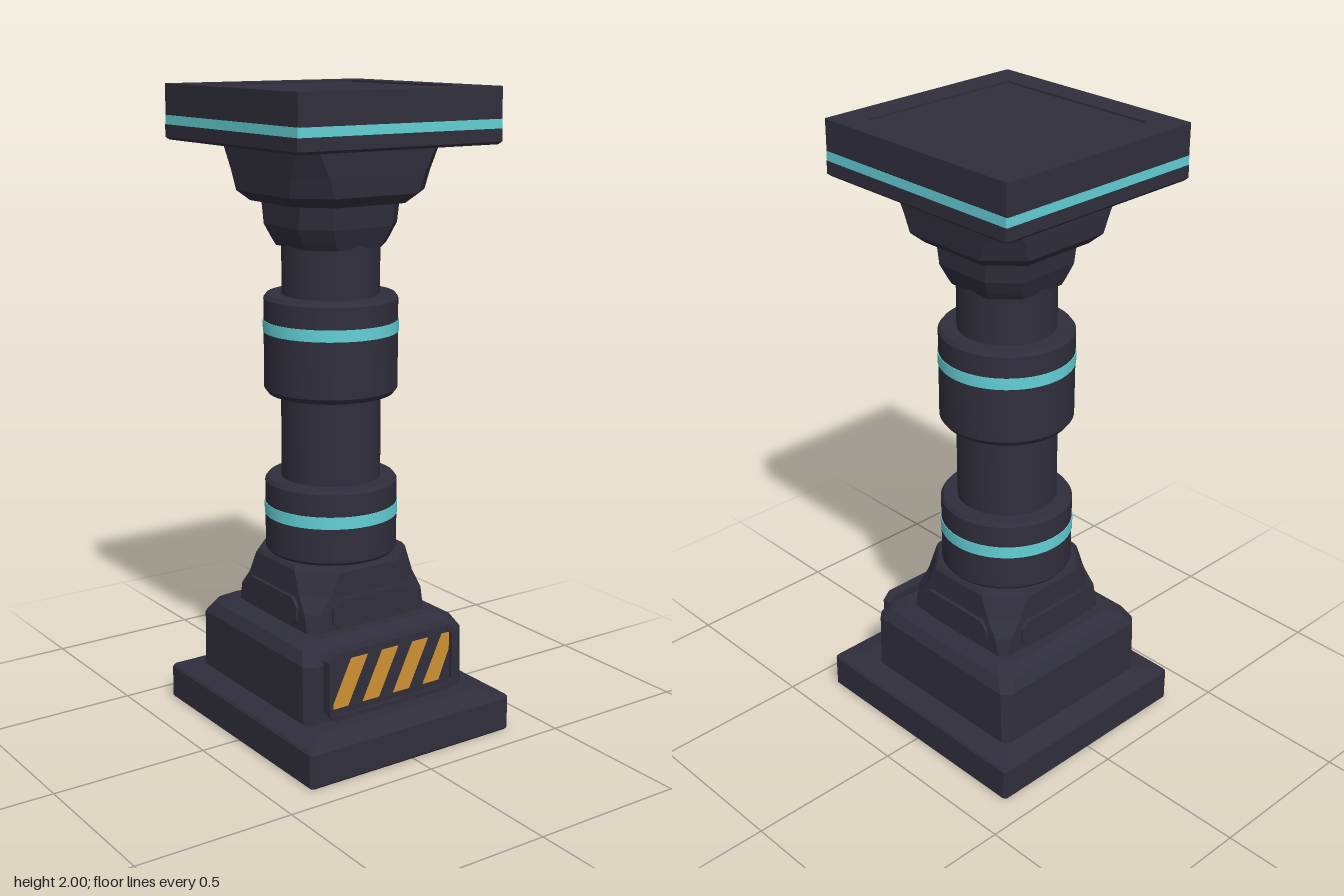
import * as THREE from 'three';
import { toCreasedNormals } from 'three/addons/utils/BufferGeometryUtils.js';

const mat = (name, color) => {
  const m = new THREE.MeshStandardMaterial({ color });
  m.name = name;
  return m;
};

// Stacked chamfered rectangles; each level is [y, halfX, halfZ, cornerCut]
function loft(levels) {
  const rings = levels.map(([y, hx, hz, c]) => [
    [hx, hz - c], [hx - c, hz], [c - hx, hz], [-hx, hz - c],
    [-hx, c - hz], [c - hx, -hz], [hx - c, -hz], [hx, c - hz],
  ].map(([x, z]) => [x, y, z]));
  const pos = [];
  const tri = (...pts) => pts.forEach((p) => pos.push(...p));
  const last = rings.length - 1;
  const bottom = [0, levels[0][0], 0];
  const top = [0, levels[last][0], 0];
  for (let i = 0; i < 8; i++) {
    const j = (i + 1) % 8;
    for (let k = 0; k < last; k++) {
      const a = rings[k][i], b = rings[k][j], c = rings[k + 1][j], d = rings[k + 1][i];
      tri(a, d, c);
      tri(a, c, b);
    }
    tri(bottom, rings[0][i], rings[0][j]);
    tri(top, rings[last][j], rings[last][i]);
  }
  const g = new THREE.BufferGeometry();
  g.setAttribute('position', new THREE.Float32BufferAttribute(pos, 3));
  g.computeVertexNormals();
  return g;
}

// Round profile from [radius, y] pairs, with crisp edges
const turned = (pts) => toCreasedNormals(
  new THREE.LatheGeometry(pts.map(([r, y]) => new THREE.Vector2(r, y)), 48), 0.5);

// Rectangle with cut corners
function cutRect(Path, x0, y0, x1, y1, c) {
  const pts = [[x0 + c, y0], [x1 - c, y0], [x1, y0 + c], [x1, y1 - c],
    [x1 - c, y1], [x0 + c, y1], [x0, y1 - c], [x0, y0 + c]];
  return new Path(pts.map(([x, y]) => new THREE.Vector2(x, y)));
}
const extrude = (shape, depth) =>
  new THREE.ExtrudeGeometry(shape, { depth, bevelEnabled: false });

export function createModel() {
  const dark = mat('dark metal', 0x302e3c);
  const teal = mat('teal glow', 0x62d0d6);
  const amber = mat('amber paint', 0xcf9233);
  const model = new THREE.Group();
  model.name = 'pedestalColumn';
  const column = new THREE.Group();
  column.name = 'column';
  column.position.z = -0.03;
  model.add(column);
  const add = (name, geometry, material, parent = column) => {
    const m = new THREE.Mesh(geometry, material);
    m.name = name;
    parent.add(m);
    return m;
  };

  // Floor plate with gently sloping top
  add('basePlate', loft([[0, 0.37, 0.41, 0.008], [0.006, 0.376, 0.415, 0.008],
    [0.108, 0.376, 0.415, 0.008], [0.116, 0.37, 0.41, 0.008],
    [0.13, 0.3, 0.34, 0.008]]), dark, model);

  // Plinth blocks
  add('lowerPlinth', loft([[0.12, 0.3, 0.31, 0.02], [0.315, 0.3, 0.31, 0.025],
    [0.352, 0.28, 0.29, 0.035], [0.372, 0.245, 0.255, 0.04]]), dark);
  add('upperPlinth', loft([[0.36, 0.222, 0.216, 0.02], [0.43, 0.222, 0.216, 0.035],
    [0.48, 0.216, 0.212, 0.07], [0.55, 0.212, 0.21, 0.1],
    [0.562, 0.204, 0.204, 0.1]]), dark);

  // Raised pads on the four sides of the upper plinth
  for (let i = 0; i < 4; i++) {
    const pad = add('plinthPad', extrude(
      cutRect(THREE.Shape, -0.145, 0.375, 0.145, 0.47, 0.025), 0.03), dark);
    pad.rotation.y = i * Math.PI / 2;
    const out = i % 2 ? 0.199 : 0.195;
    pad.position.set(Math.sin(pad.rotation.y) * out, 0, Math.cos(pad.rotation.y) * out);
  }

  // Hazard panel: frame, recessed plate and slanted stripes
  const panel = new THREE.Group();
  panel.name = 'hazardPanel';
  panel.position.z = 0.275;
  model.add(panel);
  const frame = cutRect(THREE.Shape, -0.24, 0.138, 0.24, 0.354, 0.025);
  frame.holes.push(cutRect(THREE.Path, -0.225, 0.153, 0.225, 0.339, 0.02));
  add('panelFrame', extrude(frame, 0.035), dark, panel);
  add('panelPlate', extrude(
    cutRect(THREE.Shape, -0.23, 0.148, 0.23, 0.344, 0.02), 0.024), dark, panel);
  for (let i = 0; i < 4; i++) {
    const x = -0.225 + i * 0.115;
    const edge = 0.22;
    const stripe = i < 3
      ? [[x, 0.175], [x + 0.06, 0.175], [x + 0.132, 0.325], [x + 0.072, 0.325]]
      : [[x, 0.175], [x + 0.06, 0.175], [edge, 0.27], [edge, 0.325], [x + 0.072, 0.325]];
    const s = add('hazardStripe', extrude(
      new THREE.Shape(stripe.map(([a, b]) => new THREE.Vector2(a, b))), 0.004), amber, panel);
    s.position.z = 0.023;
  }

  // Round shaft with a service cover at the back
  add('shaft', turned([[0.155, 0.75], [0.155, 1.12], [0.151, 1.3], [0.151, 1.56]]), dark);
  const cover = add('shaftCover', new THREE.CylinderGeometry(
    0.159, 0.159, 0.26, 12, 1, true, Math.PI * 0.8, Math.PI * 0.4), dark);
  cover.position.y = 0.935;

  // Collars, each with a glowing band
  const collars = [[0.555, 0.8, 0.68, 0.718], [1.068, 1.375, 1.26, 1.296]];
  for (const [y0, y1, b0, b1] of collars) {
    add('collar', turned([[0.1, y0], [0.195, y0], [0.207, y0 + 0.016],
      [0.207, y1 - 0.012], [0.198, y1], [0.1, y1]]), dark);
    add('collarBand', turned([[0.2, b0], [0.2095, b0], [0.2095, b1], [0.2, b1]]), teal);
  }

  // Neck and capital
  add('neck', loft([[1.525, 0.148, 0.148, 0.07], [1.545, 0.158, 0.155, 0.07],
    [1.59, 0.18, 0.17, 0.075], [1.67, 0.182, 0.176, 0.07]]), dark);
  add('capital', loft([[1.66, 0.212, 0.21, 0.09], [1.69, 0.245, 0.24, 0.095],
    [1.75, 0.25, 0.245, 0.08], [1.84, 0.256, 0.248, 0.04]]), dark);

  // Square top: lower lip, glowing band, slab and rim around a sunken tray
  add('topLip', loft([[1.832, 0.352, 0.364, 0.006], [1.84, 0.361, 0.371, 0.006],
    [1.878, 0.361, 0.371, 0.006]]), dark);
  add('topBand', loft([[1.876, 0.359, 0.37, 0.004], [1.906, 0.359, 0.37, 0.004]]), teal);
  add('topSlab', loft([[1.905, 0.358, 0.37, 0.004], [1.994, 0.358, 0.37, 0.004]]), dark);
  const rim = cutRect(THREE.Shape, -0.358, -0.37, 0.358, 0.37, 0.004);
  rim.holes.push(cutRect(THREE.Path, -0.272, -0.28, 0.272, 0.28, 0.006));
  const rimMesh = add('topRim', extrude(rim, 0.007), dark);
  rimMesh.rotation.x = -Math.PI / 2;
  rimMesh.position.y = 1.993;

  return model;
}
